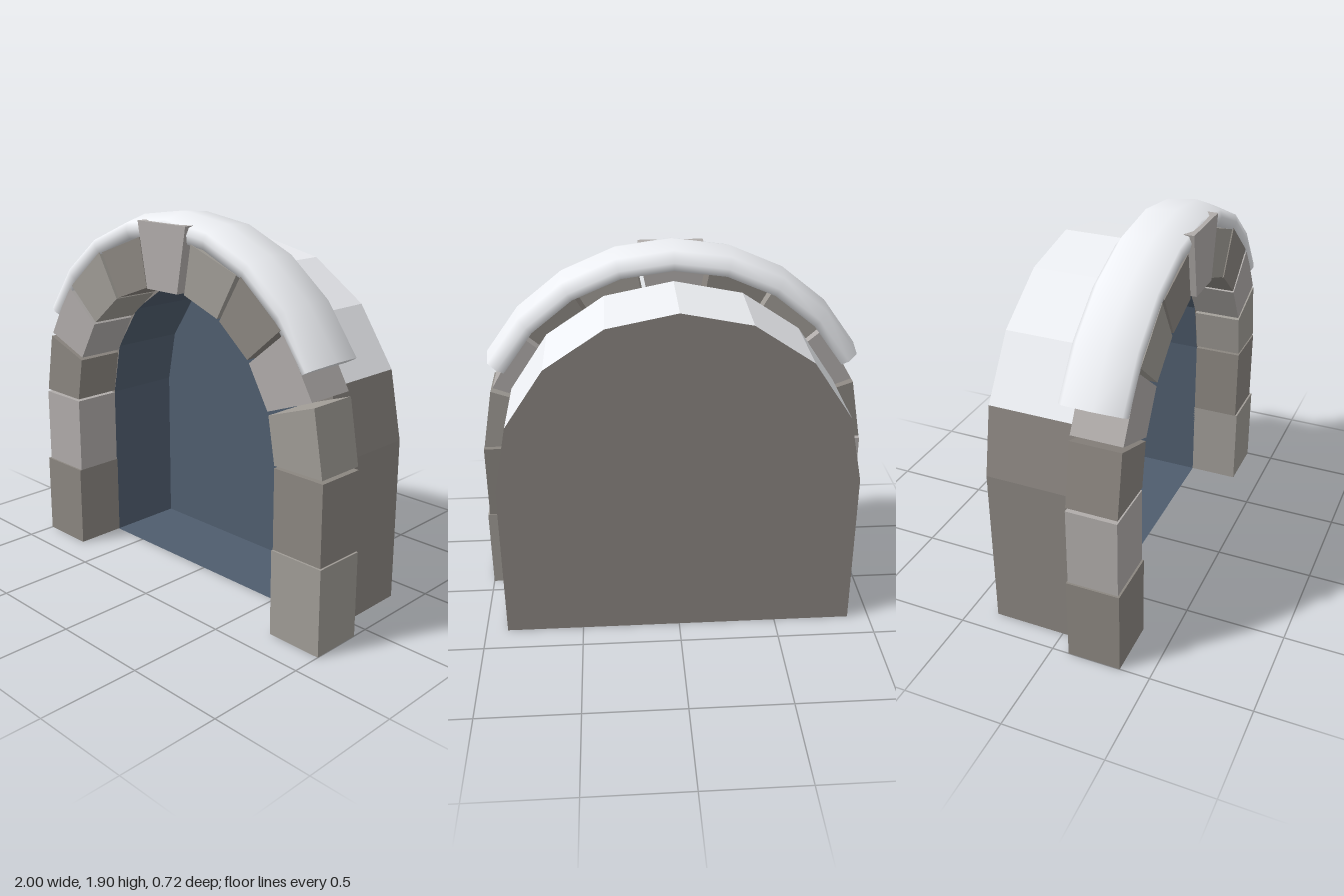
import * as THREE from 'three';

const SPRING = 0.83;                      // height where the arch begins
const BACK = -0.36, INNER_BACK = -0.32, FRONT = 0.09;
const R_OUT = 0.89, R_IN = 0.71;
const TONES = [0x8b8680, 0xa09c96, 0xb0acaa];
const BROWN = 0x8a8580, BLUE = 0x4f5d6e, PALE = 0xeceef2;

const material = (color, side = THREE.FrontSide) =>
  new THREE.MeshStandardMaterial({ color, side, flatShading: true });

function add(group, name, geometry, mat) {
  const mesh = new THREE.Mesh(geometry, mat);
  mesh.name = name;
  group.add(mesh);
  return mesh;
}

const polar = (r, deg) => {
  const a = THREE.MathUtils.degToRad(deg);
  return new THREE.Vector2(r * Math.cos(a), SPRING + r * Math.sin(a));
};

// Doorway outline: right foot, eight-sided half circle, left foot
function archPoints(r) {
  const pts = [new THREE.Vector2(r, 0)];
  for (let i = 0; i <= 8; i++) pts.push(polar(r, i * 22.5));
  pts.push(new THREE.Vector2(-r, 0));
  return pts;
}

// Wall running from z0 to z1 along a line of points
function strip(pts, z0, z1) {
  const v = [];
  for (let i = 0; i + 1 < pts.length; i++) {
    const a = pts[i], b = pts[i + 1];
    v.push(a.x, a.y, z0, b.x, b.y, z0, b.x, b.y, z1);
    v.push(a.x, a.y, z0, b.x, b.y, z1, a.x, a.y, z1);
  }
  const g = new THREE.BufferGeometry();
  g.setAttribute('position', new THREE.Float32BufferAttribute(v, 3));
  g.computeVertexNormals();
  return g;
}

// Flat polygon on the ground from [x, z] corners
function groundPlate(corners) {
  const shape = new THREE.Shape(corners.map(([x, z]) => new THREE.Vector2(x, -z)));
  return new THREE.ShapeGeometry(shape).rotateX(-Math.PI / 2);
}

// Stone block from a four-cornered front outline
function block(corners, z0, z1) {
  return new THREE.ExtrudeGeometry(new THREE.Shape(corners), { depth: z1 - z0, bevelEnabled: false })
    .translate(0, 0, z0);
}

// Smooth rounded band bent over the arch in eight straight steps
function canopyGeometry() {
  const section = [[0.955, 0.335], [1.0, 0.347], [1.035, 0.335], [1.068, 0.21],
    [1.052, 0.06], [1.0, 0.022], [0.96, 0.03]];
  const n = section.length, steps = 8, pos = [], idx = [];
  const addRow = (k) => {
    for (const [r, z] of section) {
      const p = polar(r, 28 + (124 * k) / steps);
      pos.push(p.x, p.y, z);
    }
  };
  for (let i = 0; i <= steps; i++) addRow(i);
  for (let i = 0; i < steps; i++) {
    for (let j = 0; j < n; j++) {
      const a = i * n + j, b = i * n + (j + 1) % n;
      idx.push(a, b, b + n, a, b + n, a + n);
    }
  }
  // End caps with their own corners
  const start = (steps + 1) * n, end = start + n;
  addRow(0);
  addRow(steps);
  for (let j = 1; j + 1 < n; j++) {
    idx.push(start, start + j + 1, start + j, end, end + j, end + j + 1);
  }
  const g = new THREE.BufferGeometry();
  g.setAttribute('position', new THREE.Float32BufferAttribute(pos, 3));
  g.setIndex(idx);
  g.computeVertexNormals();
  return g;
}

export function createModel() {
  const model = new THREE.Group();
  model.name = 'archedAlcove';
  const outer = archPoints(R_OUT), inner = archPoints(R_IN);
  const brown = material(BROWN), blue = material(BLUE, THREE.DoubleSide);

  // Outer shell: lower walls on both sides, pale roof facets between
  const shell = new THREE.Group();
  shell.name = 'shell';
  model.add(shell);
  add(shell, 'rightWall', strip(outer.slice(8), BACK, FRONT), brown);
  add(shell, 'leftWall', strip(outer.slice(0, 3), BACK, FRONT), brown);
  add(shell, 'roof', strip(outer.slice(2, 9), BACK, FRONT), material(PALE));
  add(shell, 'backWall', new THREE.ShapeGeometry(new THREE.Shape(outer))
    .rotateY(Math.PI).translate(0, 0, BACK), brown);
  const rim = new THREE.Shape([...outer, ...inner.slice().reverse()]);
  add(shell, 'frontRim', new THREE.ShapeGeometry(rim).translate(0, 0, FRONT), brown);
  for (const s of [-1, 1]) {
    add(shell, s > 0 ? 'leftFoot' : 'rightFoot', groundPlate([[s * R_OUT, BACK], [s * R_OUT, FRONT],
      [s * R_IN, FRONT], [s * R_IN, INNER_BACK]]), material(BROWN, THREE.DoubleSide));
  }

  // Blue lining of the recess
  const recess = new THREE.Group();
  recess.name = 'recess';
  model.add(recess);
  add(recess, 'lining', strip(inner, INNER_BACK, FRONT), blue);
  add(recess, 'recessBack', new THREE.ShapeGeometry(new THREE.Shape(inner))
    .translate(0, 0, INNER_BACK), blue);
  add(recess, 'floor', groundPlate([[-R_IN, FRONT], [R_IN, FRONT], [R_IN, INNER_BACK],
    [R_OUT, BACK], [-R_OUT, BACK], [-R_IN, INNER_BACK]]), blue);

  // Jamb stones, two on each side
  const stones = new THREE.Group();
  stones.name = 'stones';
  model.add(stones);
  const tones = TONES.map((c) => material(c));
  const jamb = (name, s, w, y0, y1, z0, z1, tone) => {
    const g = new THREE.BoxGeometry(w, y1 - y0, z1 - z0);
    g.translate(s * (R_IN + w / 2), (y0 + y1) / 2, (z0 + z1) / 2);
    add(stones, name, g, tones[tone]);
  };
  for (const s of [-1, 1]) {
    const side = s > 0 ? 'left' : 'right';
    jamb(side + 'LowerJamb', s, 0.29, 0, 0.43, 0.085, 0.35, s > 0 ? 1 : 0);
    jamb(side + 'UpperJamb', s, 0.28, 0.43, 0.827, 0.09, 0.34, s > 0 ? 0 : 2);
  }

  // Wedge stones of the arch, from the left foot over to the right
  const wedgeTones = [1, 2, 0, 1, 2, 0, 1, 2, 0];
  const wedgeRadii = [0.985, 0.98, 0.965, 0.955];
  for (let i = 0; i < 9; i++) {
    if (i === 4) continue;
    const a = i * 20 + 0.7, b = i * 20 + 19.3;
    const r = wedgeRadii[Math.min(i, 8 - i)];
    add(stones, 'archStone' + (i + 1),
      block([polar(0.71, a), polar(r, a), polar(r, b), polar(0.71, b)], 0.09, 0.34), tones[wedgeTones[i]]);
  }
  const key = [[-0.105, 1.53], [0.105, 1.53], [0.165, 1.85], [-0.165, 1.85]];
  add(stones, 'keystone', block(key.map(([x, y]) => new THREE.Vector2(x, y)), 0.09, 0.36), tones[2]);

  // Pale rounded canopy on top of the arch stones
  add(model, 'canopy', canopyGeometry(), new THREE.MeshStandardMaterial({ color: PALE }));
  return model;
}
